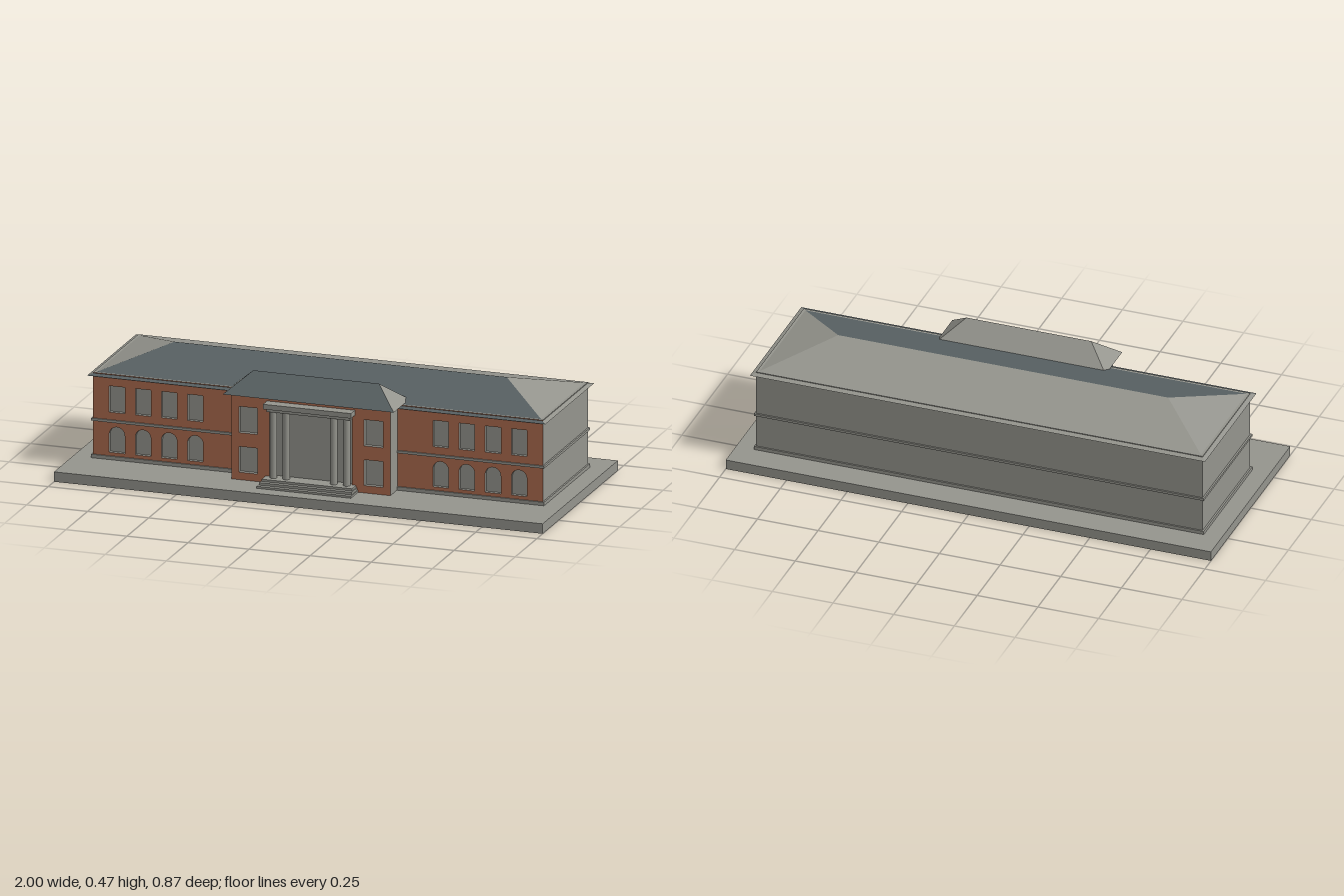
import * as THREE from 'three';

const stone = new THREE.MeshStandardMaterial({ color: 0x94948d });
const brick = new THREE.MeshStandardMaterial({ color: 0xab6a4d });
const slate = new THREE.MeshStandardMaterial({ color: 0x586163 });
stone.name = 'stone';
brick.name = 'brick';
slate.name = 'slate';

export function createModel() {
  const root = new THREE.Group();
  root.name = 'building';

  const add = (name, geometry, material) => {
    const mesh = new THREE.Mesh(geometry, material);
    mesh.name = name;
    root.add(mesh);
    return mesh;
  };

  // Box given by its limits on each axis
  const box = (name, x0, x1, y0, y1, z0, z1) =>
    add(name, new THREE.BoxGeometry(x1 - x0, y1 - y0, z1 - z0), stone)
      .position.set((x0 + x1) / 2, (y0 + y1) / 2, (z0 + z1) / 2);

  // Rectangular or round-headed opening
  const opening = (x, w, y0, y1, arched) => {
    const p = new THREE.Path();
    const r = w / 2;
    p.moveTo(x - r, y0);
    p.lineTo(x + r, y0);
    if (arched) {
      p.lineTo(x + r, y1 - r);
      p.absarc(x, y1 - r, r, 0, Math.PI, false);
    } else {
      p.lineTo(x + r, y1);
      p.lineTo(x - r, y1);
    }
    p.closePath();
    return p;
  };

  // Brick facade with stone reveals around its openings
  const facade = (name, x0, x1, y1, zFront, depth, holes) => {
    const s = new THREE.Shape();
    s.moveTo(x0, 0.04);
    s.lineTo(x1, 0.04);
    s.lineTo(x1, y1);
    s.lineTo(x0, y1);
    s.closePath();
    s.holes.push(...holes);
    const g = new THREE.ExtrudeGeometry(s, { depth, bevelEnabled: false, curveSegments: 12 });
    add(name, g, [brick, stone]).position.z = zFront - depth;
  };

  // Hipped roof: slate front slope, stone elsewhere
  const hipRoof = (name, ex, ey, z0, z1, rx, ry, rz) => {
    const a = [-ex, ey, z1], b = [ex, ey, z1], c = [ex, ey, z0], d = [-ex, ey, z0];
    const l = [-rx, ry, rz], r = [rx, ry, rz];
    const corners = [
      a, b, r, a, r, l,
      c, d, l, c, l, r,
      b, c, r, d, a, l,
      a, d, c, a, c, b,
    ];
    const g = new THREE.BufferGeometry();
    g.setAttribute('position', new THREE.Float32BufferAttribute(corners.flat(), 3));
    g.computeVertexNormals();
    g.addGroup(0, 6, 0);
    g.addGroup(6, corners.length - 6, 1);
    add(name, g, [slate, stone]);
  };

  // Ground slab and main block
  box('groundSlab', -1, 1, 0, 0.04, -0.433, 0.433);
  box('mainBlock', -0.92, 0.92, 0.04, 0.384, -0.313, 0.192);
  box('plinth', -0.927, 0.927, 0.04, 0.054, -0.319, 0.192);
  box('stringCourse', -0.927, 0.927, 0.19, 0.2, -0.319, 0.213);
  hipRoof('mainRoof', 0.938, 0.375, -0.334, 0.228, 0.68, 0.456, -0.053);

  // Wing facades, mirrored
  for (const side of [-1, 1]) {
    const holes = [];
    for (const x of [0.502, 0.609, 0.716, 0.823]) {
      holes.push(opening(side * x, 0.064, 0.068, 0.172, true));
      holes.push(opening(side * x, 0.064, 0.23, 0.336, false));
    }
    const ends = [side * 0.325, side * 0.92].sort((p, q) => p - q);
    facade('wingFacade', ends[0], ends[1], 0.384, 0.207, 0.015, holes);
    const plinthEnds = [side * 0.325, side * 0.927].sort((p, q) => p - q);
    box('frontPlinth', plinthEnds[0], plinthEnds[1], 0.04, 0.054, 0.192, 0.213);
  }

  // Central pavilion
  box('pavilionBlock', -0.325, 0.325, 0.04, 0.389, 0.1, 0.27);
  const pavilionHoles = [opening(0, 0.336, 0.06, 0.352, false)];
  for (const x of [-0.256, 0.256]) {
    pavilionHoles.push(opening(x, 0.076, 0.07, 0.174, false));
    pavilionHoles.push(opening(x, 0.076, 0.23, 0.336, false));
  }
  facade('pavilionFacade', -0.325, 0.325, 0.389, 0.288, 0.018, pavilionHoles);
  hipRoof('pavilionRoof', 0.35, 0.388, 0.137, 0.32, 0.257, 0.468, 0.228);

  // Entrance steps
  [[0.371, 0.048], [0.353, 0.058], [0.335, 0.067]].forEach(([z, y], i) =>
    box('step', -0.193 + i * 0.004, 0.193 - i * 0.004, 0.04, y, 0.27, z));

  // Portico columns
  for (const x of [-0.15, -0.097, 0.097, 0.15]) {
    add('column', new THREE.CylinderGeometry(0.014, 0.014, 0.275, 20), stone)
      .position.set(x, 0.2005, 0.299);
  }
  // Architrave and cornice
  box('architrave', -0.17, 0.17, 0.336, 0.35, 0.27, 0.319);
  box('cornice', -0.18, 0.18, 0.35, 0.37, 0.27, 0.334);

  return root;
}
